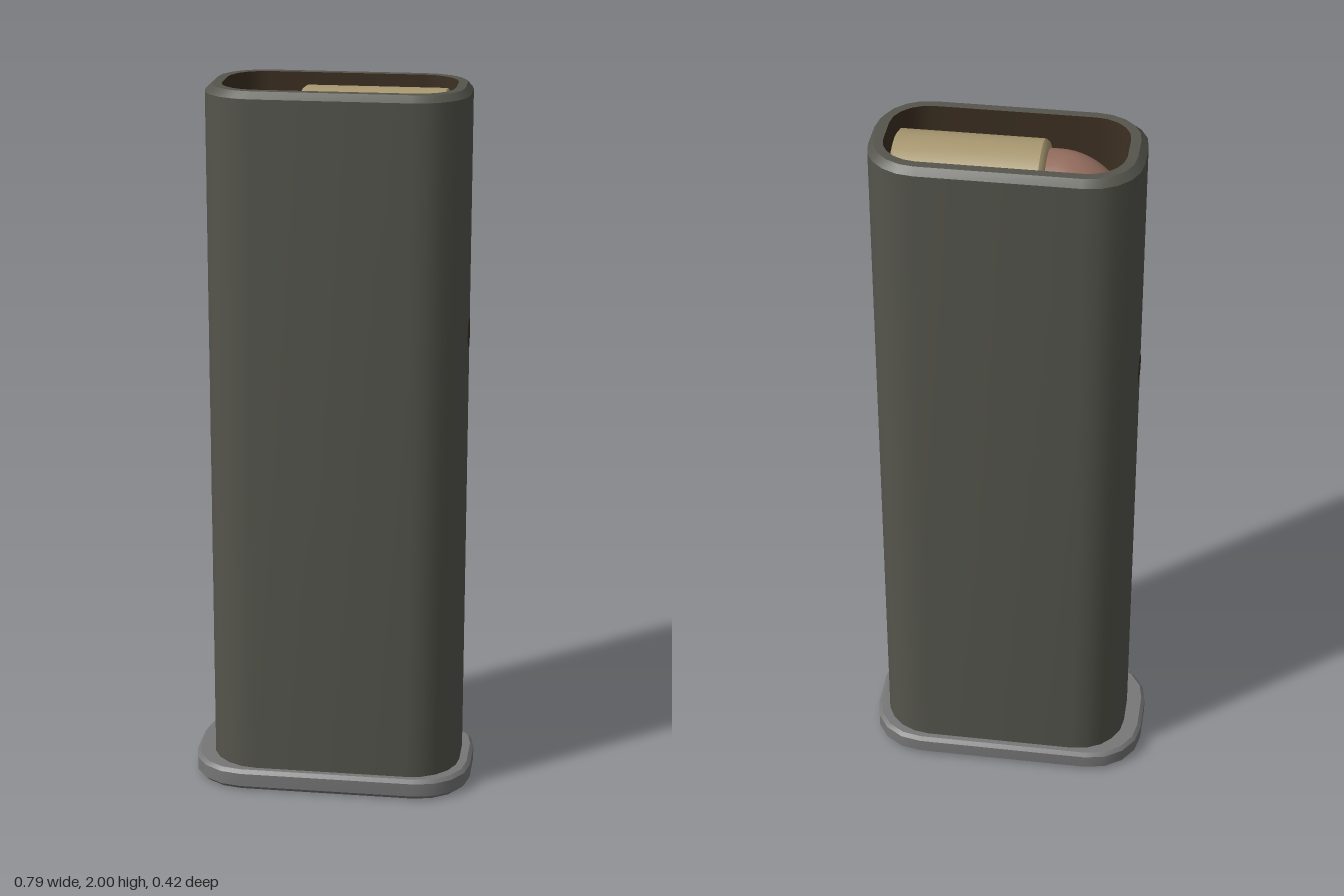
import * as THREE from 'three';
import { toCreasedNormals } from 'three/addons/utils/BufferGeometryUtils.js';

const mat = (name, color) => new THREE.MeshStandardMaterial({ name, color });

// Rounded rectangle loop, counter-clockwise seen from above
function loop([y, cx, hx, hz, r], seg) {
  const pts = [];
  const corners = [[1, 1], [-1, 1], [-1, -1], [1, -1]];
  corners.forEach(([sx, sz], q) => {
    for (let i = 0; i <= seg; i++) {
      const a = (q + i / seg) * Math.PI / 2;
      pts.push(new THREE.Vector3(
        cx + sx * (hx - r) + r * Math.cos(a), y,
        -(sz * (hz - r) + r * Math.sin(a))));
    }
  });
  return pts;
}

// Skin a stack of rounded rectangles; a row with zero size closes the end
function loft(rows, seg) {
  const loops = rows.map((row) => loop(row, seg));
  const pos = [];
  const tri = (...p) => {
    if (new THREE.Triangle(...p).getArea() > 1e-9) p.forEach((v) => pos.push(v.x, v.y, v.z));
  };
  for (let k = 0; k < loops.length - 1; k++) {
    const lo = loops[k], hi = loops[k + 1], n = lo.length;
    for (let i = 0; i < n; i++) {
      const j = (i + 1) % n;
      tri(lo[i], lo[j], hi[j]);
      tri(lo[i], hi[j], hi[i]);
    }
  }
  const g = new THREE.BufferGeometry();
  g.setAttribute('position', new THREE.Float32BufferAttribute(pos, 3));
  return toCreasedNormals(g, 0.6);
}

// Turned part lying along x; profile runs [x, radius] from low x to high x
function turned(profile, seg) {
  const g = new THREE.LatheGeometry(profile.map(([x, r]) => new THREE.Vector2(r, x)), seg);
  g.rotateZ(-Math.PI / 2);
  return toCreasedNormals(g, 0.6);
}

export function createModel() {
  const model = new THREE.Group();
  model.name = 'magazine';
  const steel = mat('darkSteel', 0x55554d);
  const grey = mat('baseGrey', 0x777777);
  const inside = mat('darkInterior', 0x3d3022);
  const brass = mat('brass', 0xa89870);
  const copper = mat('copper', 0x966f60);

  const add = (name, geometry, material, parent = model) => {
    const mesh = new THREE.Mesh(geometry, material);
    mesh.name = name;
    parent.add(mesh);
    return mesh;
  };

  // Base plate with chamfered edges and a shallow recess underneath
  add('basePlate', loft([
    [0.005, 0, 0, 0, 0],
    [0.005, 0, 0.36, 0.173, 0.115],
    [0, 0, 0.365, 0.178, 0.12],
    [0, 0, 0.385, 0.198, 0.14],
    [0.012, 0, 0.397, 0.21, 0.15],
    [0.05, 0, 0.397, 0.21, 0.15],
    [0.06, 0, 0.387, 0.2, 0.14],
    [0.06, 0, 0, 0, 0],
  ], 4), grey);

  // Tube body, chamfered rim and the lip around the opening
  add('body', loft([
    [0.055, 0.01, 0.355, 0.185, 0.14],
    [1.982, 0.01, 0.355, 0.185, 0.14],
    [2, 0.0115, 0.338, 0.167, 0.125],
    [2, 0.0125, 0.3125, 0.142, 0.1],
  ], 5), steel);

  // Dark inner walls and floor
  add('innerWall', loft([
    [2, 0.0125, 0.3125, 0.142, 0.1],
    [0.07, 0.0125, 0.3125, 0.142, 0.1],
    [0.07, 0.0125, 0, 0, 0],
  ], 5), inside);

  // Round witness hole on each narrow end
  for (const [name, x, side] of [['leftHole', 0.367, 1], ['rightHole', -0.347, -1]]) {
    const hole = add(name, new THREE.CircleGeometry(0.04, 12), inside);
    hole.position.set(x, 1.32, 0);
    hole.rotation.y = side * Math.PI / 2;
  }

  // Top cartridge lying in the opening, tip towards -x
  const cartridge = new THREE.Group();
  cartridge.name = 'cartridge';
  cartridge.position.y = 1.85;
  model.add(cartridge);
  add('case', turned([
    [-0.092, 0], [-0.092, 0.122], [-0.088, 0.132], [-0.078, 0.139],
    [0.298, 0.139], [0.305, 0.13], [0.305, 0],
  ], 32), brass, cartridge);

  const ogive = [];
  for (let i = 0; i <= 10; i++) {
    const t = i / 10;
    ogive.push([-0.302 + 0.182 * t, 0.116 * Math.pow(1 - (1 - t) ** 2, 0.8)]);
  }
  add('bullet', turned([...ogive, [-0.085, 0.116]], 32), copper, cartridge);

  return model;
}
